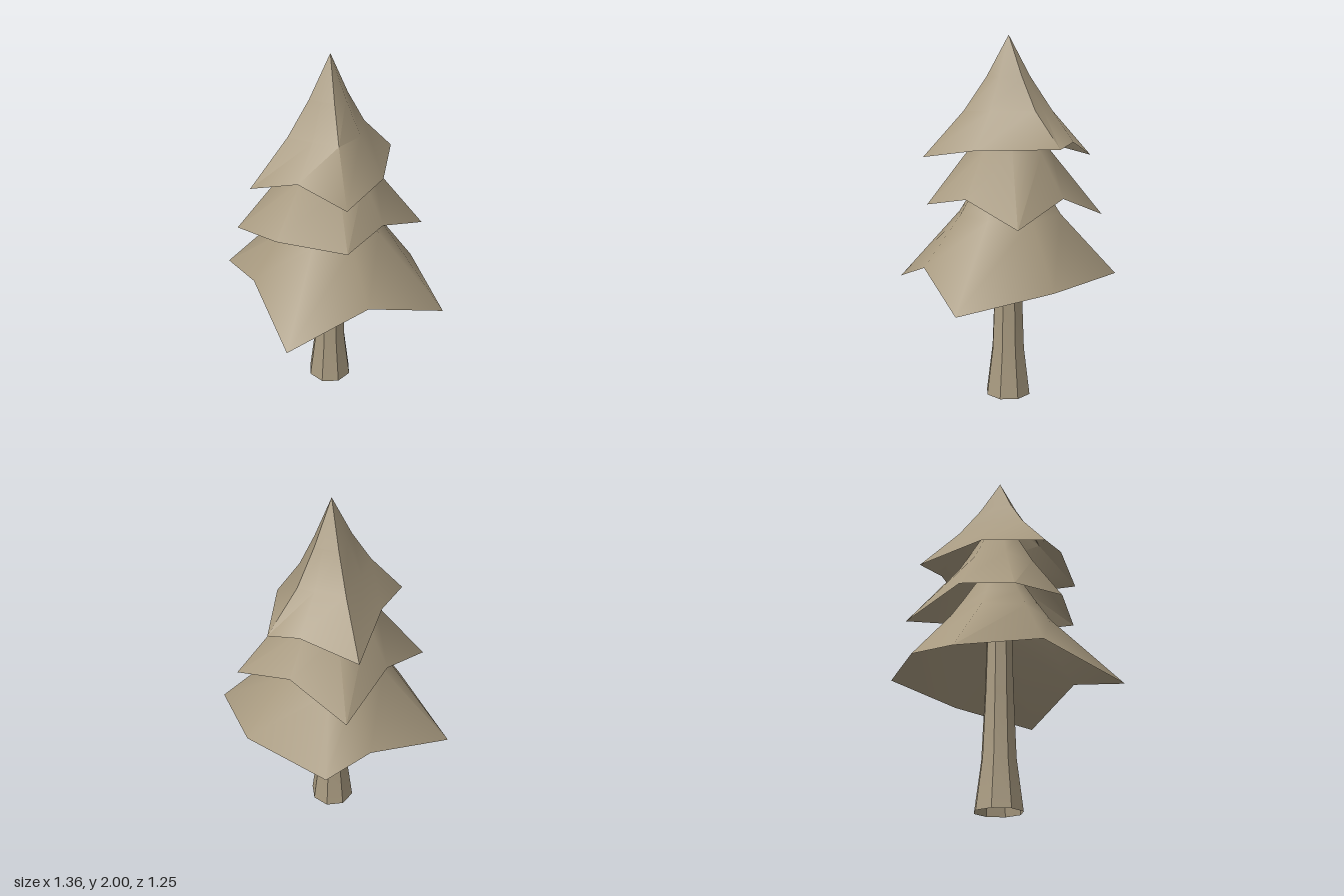
import * as THREE from 'three';
import { toCreasedNormals } from 'three/addons/utils/BufferGeometryUtils.js';

const AXIS_Z = -0.05; // the tree stands slightly behind the centre

const material = new THREE.MeshStandardMaterial({ color: 0xa89a80, side: THREE.DoubleSide });

// A skirt of foliage: jagged rim of [x, y, z] points, then rings of [y, radius, roundness].
// Roundness 0 keeps the outline of the rim, 1 makes the ring circular.
function skirt(name, rim, rings) {
  const polar = rim.map(([x, , z]) => ({ r: Math.hypot(x, z - AXIS_Z), a: Math.atan2(x, z - AXIS_Z) }));
  const mean = polar.reduce((sum, p) => sum + p.r, 0) / rim.length;
  const loops = [rim];
  for (const [y, radius, round] of rings) {
    loops.push(polar.map(({ r, a }) => {
      const d = radius * THREE.MathUtils.lerp(r / mean, 1, round);
      return [d * Math.sin(a), y, AXIS_Z + d * Math.cos(a)];
    }));
  }

  const n = rim.length;
  const index = [];
  for (let k = 0; k < loops.length - 1; k++) {
    const pointed = k === rings.length - 1 && rings[k][1] === 0;
    for (let i = 0; i < n; i++) {
      const a = k * n + i;
      const b = k * n + (i + 1) % n;
      index.push(a, b, b + n);
      if (!pointed) index.push(a, b + n, a + n);
    }
  }
  const geometry = new THREE.BufferGeometry();
  geometry.setAttribute('position', new THREE.Float32BufferAttribute(loops.flat(2), 3));
  geometry.setIndex(index);
  const mesh = new THREE.Mesh(toCreasedNormals(geometry, 0.9), material);
  mesh.name = name;
  return mesh;
}

export function createModel() {
  const tree = new THREE.Group();
  tree.name = 'tree';

  // Eight-sided trunk, flared at the foot and open at the bottom
  const profile = [[0.13, 0], [0.095, 0.27], [0.08, 0.65], [0.07, 1.15]];
  const trunkGeometry = new THREE.LatheGeometry(profile.map(([r, y]) => new THREE.Vector2(r, y)), 8);
  const trunk = new THREE.Mesh(toCreasedNormals(trunkGeometry, 0.7), material);
  trunk.name = 'trunk';
  trunk.position.z = AXIS_Z;
  tree.add(trunk);

  // Three foliage tiers, rims listed from the front round by +x
  tree.add(skirt('lowerFoliage', [
    [0.02, 0.63, 0.62], [0.35, 0.775, 0.30], [0.68, 0.63, -0.03], [0.38, 0.71, -0.43],
    [-0.12, 0.72, -0.63], [-0.31, 0.78, -0.44], [-0.68, 0.63, -0.08], [-0.33, 0.775, 0.27],
  ], [[1.04, 0.29, 1], [1.15, 0.22, 1], [1.3, 0.13, 1]]));

  tree.add(skirt('middleFoliage', [
    [-0.15, 1.1, 0.34], [0.24, 1.1, 0.33], [0.34, 1.15, 0.06], [0.47, 1.03, -0.27],
    [0.13, 1.15, -0.4], [-0.2, 1.03, -0.53], [-0.33, 1.15, -0.18], [-0.47, 1.03, 0.16],
  ], [[1.38, 0.23, 0.9], [1.58, 0.12, 1]]));

  tree.add(skirt('topFoliage', [
    [-0.03, 1.44, 0.32], [0.24, 1.355, 0.35], [0.32, 1.4, 0.02], [0.23, 1.41, -0.41],
    [0.06, 1.44, -0.43], [-0.24, 1.355, -0.45], [-0.27, 1.44, -0.08], [-0.31, 1.355, 0.29],
  ], [[1.6, 0.215, 0.2], [1.78, 0.108, 0.3], [2, 0, 1]]));

  return tree;
}
